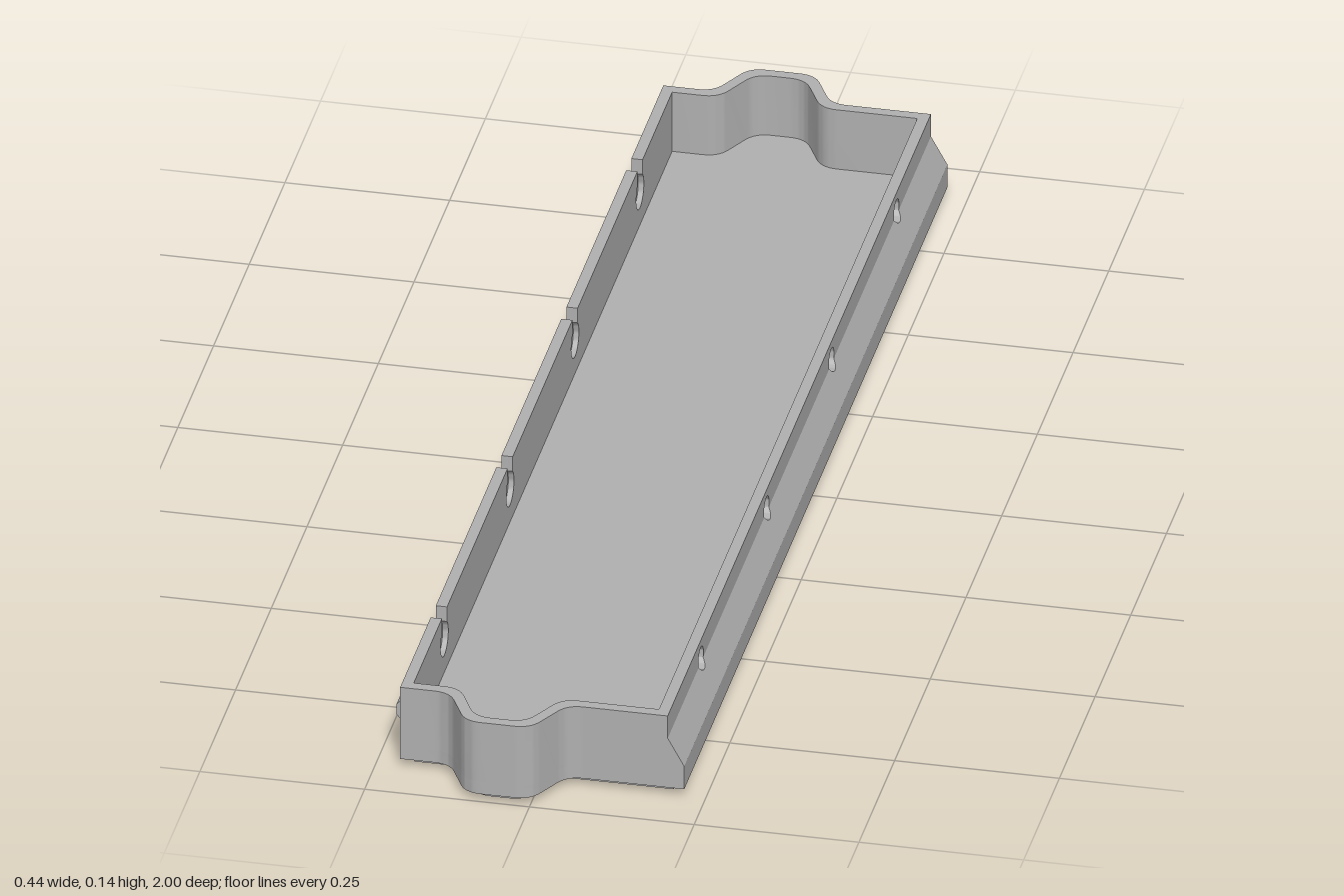
import * as THREE from 'three';
import { toCreasedNormals } from 'three/addons/utils/BufferGeometryUtils.js';

const LEFT = -0.213, RIGHT = 0.193, BULGE = 0.218;   // outer faces in x
const END = 0.922, TIP = 1, TOP = 0.135, BOTTOM = 0.013;
const WALL = 0.017, FLOOR = 0.034;
const FOLD_LOW = 0.052, FOLD_HIGH = 0.097;           // sloped band of the right wall
const HOLES = [-0.68, -0.225, 0.23, 0.69];           // z of the holes and slots
const HOLE_Y = 0.105, HOLE_R = 0.018, SLOT_Y = 0.09;

const V = (x, y) => new THREE.Vector2(x, y);

// One end of the plan outline, left to right, with a rounded tab
function endPath(inset, left, right) {
  const k = inset * 0.65, z0 = END - inset, z1 = TIP - inset, t = 0.024;
  const corners = [V(left, z0), V(-0.137 + k, z0), V(-0.098 + k, z1), V(0.001 - k, z1), V(0.041 - k, z0), V(right, z0)];
  const points = [corners[0]];
  for (let i = 1; i < 5; i++) {
    const c = corners[i];
    const a = corners[i - 1].clone().sub(c).setLength(t).add(c);
    const b = corners[i + 1].clone().sub(c).setLength(t).add(c);
    points.push(...new THREE.QuadraticBezierCurve(a, c, b).getPoints(8));
  }
  points.push(corners[5]);
  return points;
}

const flipZ = (points) => points.map((p) => V(p.x, -p.y));

// Closed plan outline with a tab at both ends
function planOutline(inset, left, right) {
  const end = endPath(inset, left, right);
  return [...end, ...flipZ(end).reverse()];
}

function extrude(points, depth) {
  return new THREE.ExtrudeGeometry(new THREE.Shape(points), { depth, bevelEnabled: false });
}

// Extrude a plan (x, z) outline between two heights
function slab(points, y0, y1) {
  return extrude(points, y1 - y0).rotateX(Math.PI / 2).translate(0, y1, 0);
}

function arc(r, y, a0, a1, n = 20) {
  return Array.from({ length: n + 1 }, (_, i) => {
    const a = a0 + (a1 - a0) * i / n;
    return V(r * Math.cos(a), y + r * Math.sin(a));
  });
}

// Long wall strip along z, with cut-outs repeated along its lower or upper edge
function strip(y0, y1, outerX, thickness, lowerCut = [], upperCut = []) {
  const at = (cut, z) => cut.map((p) => V(p.x + z, p.y));
  const points = [
    V(-END, y0), ...HOLES.flatMap((z) => at(lowerCut, z)), V(END, y0),
    V(END, y1), ...[...HOLES].reverse().flatMap((z) => at(upperCut, z)), V(-END, y1),
  ];
  return extrude(points, thickness).rotateY(-Math.PI / 2).translate(outerX, 0, 0);
}

// Push the lower part of the right wall outwards
function bulge(geometry) {
  const p = geometry.attributes.position;
  for (let i = 0; i < p.count; i++) {
    const f = THREE.MathUtils.clamp((FOLD_HIGH - p.getY(i)) / (FOLD_HIGH - FOLD_LOW), 0, 1);
    p.setX(i, p.getX(i) + f * (BULGE - RIGHT));
  }
  geometry.computeVertexNormals();
  return geometry;
}

export function createModel() {
  const model = new THREE.Group();
  const grey = new THREE.MeshStandardMaterial({ color: 0xb0b0b0 });
  grey.name = 'grey';

  const add = (name, geometry) => {
    const mesh = new THREE.Mesh(toCreasedNormals(geometry, 0.5), grey);
    mesh.name = name;
    model.add(mesh);
  };

  // Base and floor
  add('basePlate', slab(planOutline(0.019, -0.195, 0.198), 0, BOTTOM + 0.002));
  add('floor', slab(planOutline(0, LEFT, BULGE), BOTTOM, FLOOR));

  // End walls following the tabs
  const band = [...endPath(0, LEFT, RIGHT), ...endPath(WALL, LEFT, RIGHT).reverse()];
  add('frontWall', slab(band, FLOOR, TOP));
  add('backWall', slab(flipZ(band), FLOOR, TOP));

  // Right wall in three bands, with round holes across the upper fold
  const a = Math.asin((HOLE_Y - FOLD_HIGH) / HOLE_R);
  add('rightWallTop', bulge(strip(FOLD_HIGH, TOP, RIGHT, WALL, arc(HOLE_R, HOLE_Y, Math.PI + a, -a))));
  add('rightWallSlope', bulge(strip(FOLD_LOW, FOLD_HIGH, RIGHT, WALL, [], arc(HOLE_R, HOLE_Y, -a, a - Math.PI))));
  add('rightWallBottom', bulge(strip(FLOOR, FOLD_LOW, RIGHT, WALL)));

  // Caps closing the bulge at both ends
  const capShape = [V(RIGHT - WALL, FLOOR), V(BULGE, FLOOR), V(BULGE, FOLD_LOW), V(RIGHT, FOLD_HIGH), V(RIGHT - WALL, FOLD_HIGH)];
  for (const [name, z] of [['frontBulgeCap', END - WALL], ['backBulgeCap', -END]]) {
    add(name, extrude(capShape, WALL).translate(0, 0, z));
  }

  // Left wall: slotted outer layer and inner layer with wider round recesses
  const slot = [V(HOLE_R, TOP), ...arc(HOLE_R, SLOT_Y, 0, -Math.PI), V(-HOLE_R, TOP)];
  const recessR = 0.027, b = Math.acos(HOLE_R / recessR);
  const recess = [V(HOLE_R, TOP), ...arc(recessR, SLOT_Y, b, -Math.PI - b), V(-HOLE_R, TOP)];
  add('leftWallOuter', strip(FLOOR, TOP, LEFT + WALL / 2, WALL / 2, [], slot));
  add('leftWallInner', strip(FLOOR, TOP, LEFT + WALL, WALL / 2, [], recess));

  // Grip ribs between the slots
  const ribShape = [V(LEFT + 0.002, 0.071), V(LEFT, 0.072), V(-0.221, 0.081), V(-0.221, 0.099), V(LEFT, 0.107), V(LEFT + 0.002, 0.108)];
  for (const [z0, z1] of [[-0.885, -0.76], [-0.58, -0.31], [-0.13, 0.14], [0.33, 0.6], [0.785, 0.91]]) {
    add('gripRib', extrude(ribShape, z1 - z0).translate(0, 0, z0));
  }
  return model;
}
